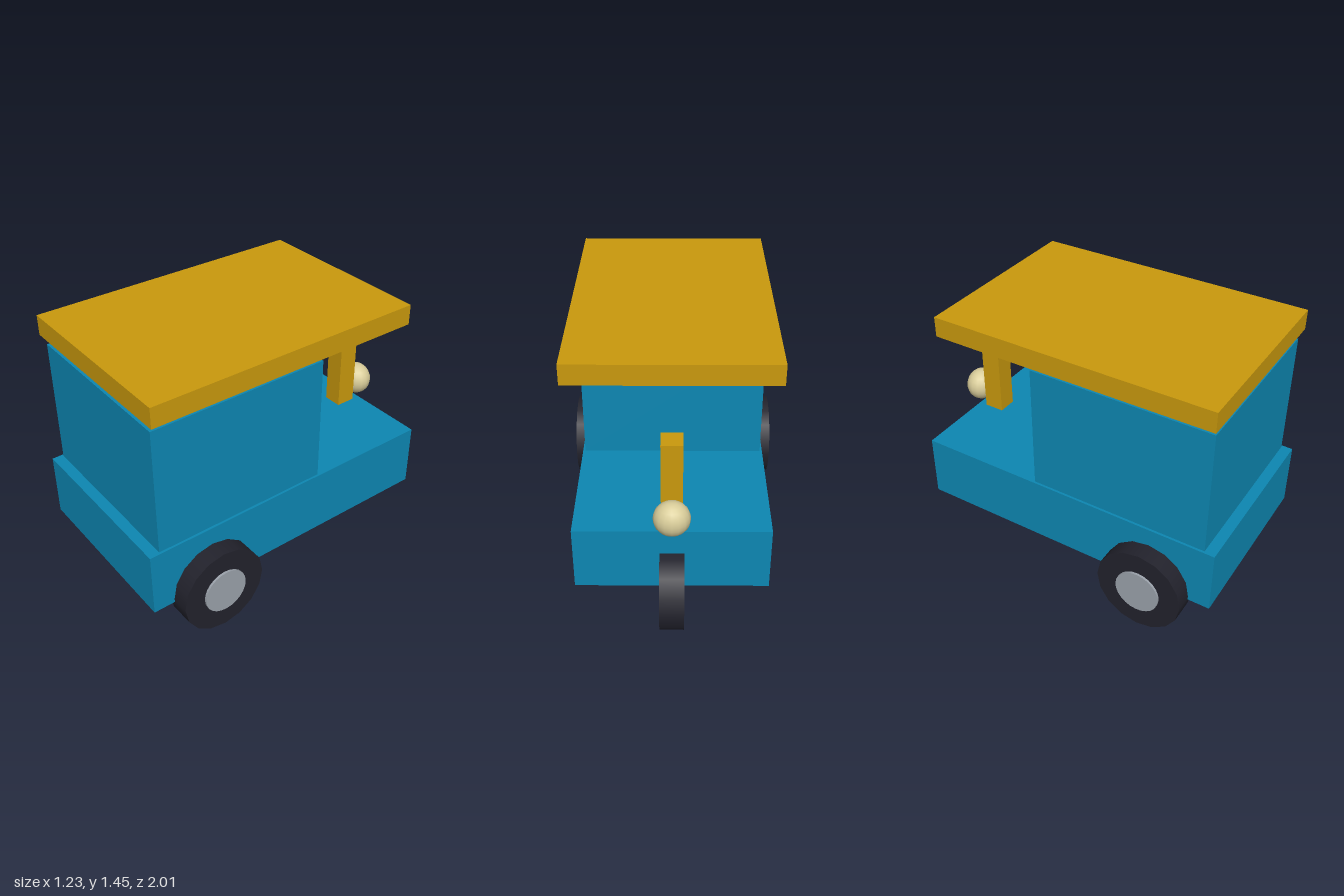
import * as THREE from 'three';

const mat = (name, color) => {
  const m = new THREE.MeshStandardMaterial({ color });
  m.name = name;
  return m;
};

export function createModel() {
  const group = new THREE.Group();
  const blue = mat('bodyBlue', 0x0d87b2);
  const yellow = mat('roofYellow', 0xc9990d);
  const rubber = mat('tyreBlack', 0x22222c);
  const steel = mat('hubGrey', 0x9aa1aa);
  const cream = mat('lampCream', 0xd9cd9a);

  const add = (name, geometry, material, x, y, z) => {
    const mesh = new THREE.Mesh(geometry, material);
    mesh.name = name;
    mesh.position.set(x, y, z);
    group.add(mesh);
    return mesh;
  };

  // Box given by half width and its y and z ranges
  const box = (name, material, hx, y0, y1, z0, z1) =>
    add(name, new THREE.BoxGeometry(hx * 2, y1 - y0, z1 - z0), material, 0, (y0 + y1) / 2, (z0 + z1) / 2);

  // Disc with its axle along x and a corner at the top
  const disc = (name, material, r, width, sides, x, y, z) =>
    add(name, new THREE.CylinderGeometry(r, r, width, sides).rotateZ(Math.PI / 2), material, x, y, z);

  // Bodywork
  box('chassis', blue, 0.505, 0.225, 0.588, -0.778, 1);
  box('cabin', blue, 0.492, 0.588, 1.297, -0.07, 0.94);
  box('roof', yellow, 0.533, 1.339, 1.451, -0.62, 0.955);
  box('steeringPost', yellow, 0.055, 0.588, 1.073, -0.73, -0.615);

  // Lamp, slightly flattened along z
  add('lamp', new THREE.SphereGeometry(0.095, 16, 12), cream, 0, 0.69, -0.798).scale.z = 0.88;

  // Single wheel under the narrow end
  disc('singleWheel', rubber, 0.225, 0.126, 14, 0, 0.225, -0.78);

  // Paired wheels with hubs
  for (const [side, s] of [['left', 1], ['right', -1]]) {
    disc(side + 'Wheel', rubber, 0.243, 0.142, 16, s * 0.533, 0.243, 0.637);
    disc(side + 'Hub', steel, 0.125, 0.167, 24, s * 0.533, 0.243, 0.637);
  }
  return group;
}
